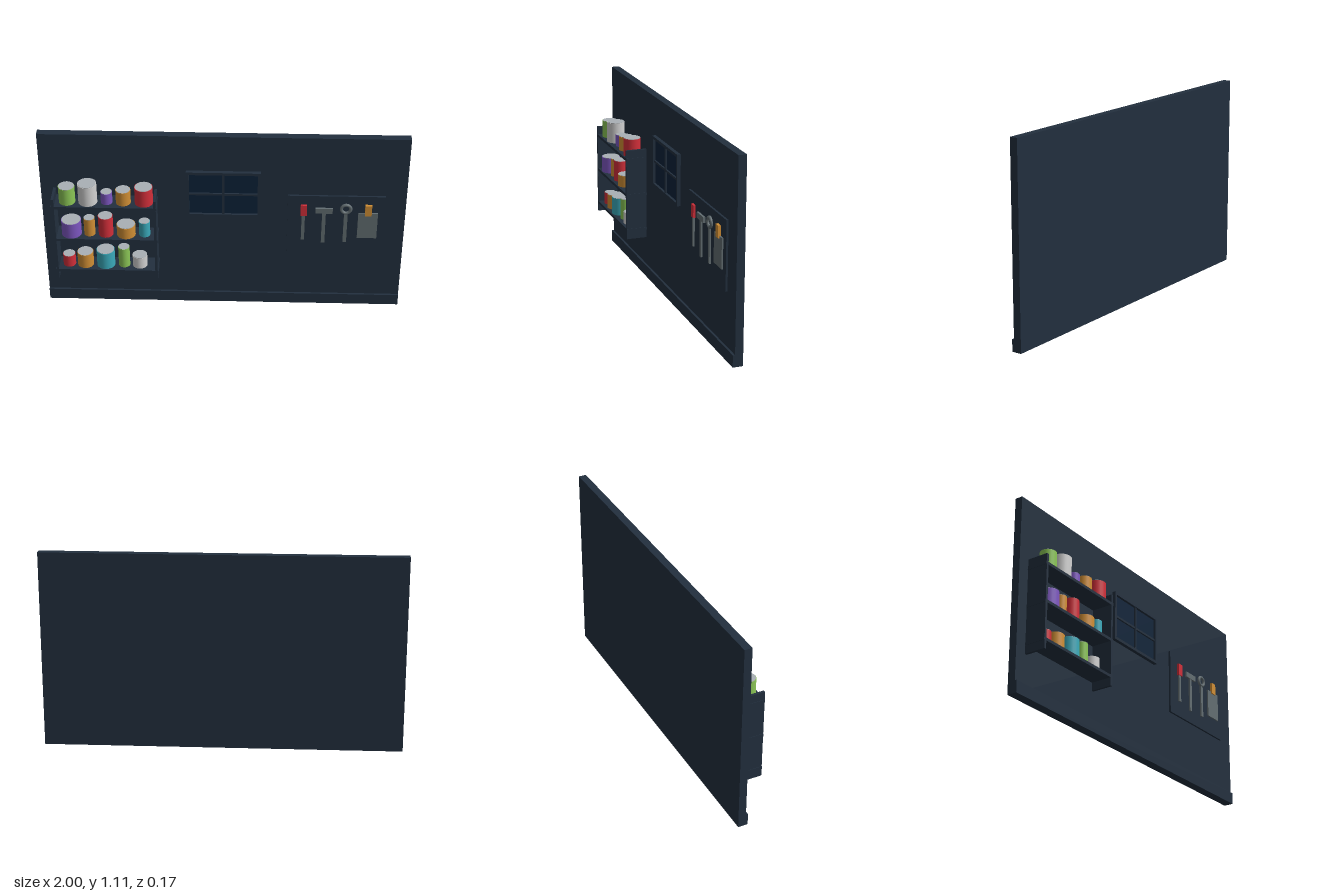
import * as THREE from 'three';

const mat = (name, color) => new THREE.MeshStandardMaterial({ name, color });

export function createModel() {
  const model = new THREE.Group();
  model.name = 'workshopWall';
  const slate = mat('slate', 0x222f3e);
  const glass = mat('darkGlass', 0x0b2239);
  const steel = mat('steel', 0x636e72);
  const lidGrey = mat('lidGrey', 0xaab0b5);
  const red = mat('red', 0xd32f3a);
  const orange = mat('orange', 0xd18f35);
  const green = mat('green', 0x8bc656);
  const purple = mat('purple', 0x7e57c2);
  const teal = mat('teal', 0x3aaabb);
  const white = mat('white', 0xd2d2d2);

  const group = (name) => {
    const g = new THREE.Group();
    g.name = name;
    model.add(g);
    return g;
  };
  // Box given by its lower and upper limits on each axis
  const box = (parent, name, material, x0, x1, y0, y1, z0, z1) => {
    const m = new THREE.Mesh(new THREE.BoxGeometry(x1 - x0, y1 - y0, z1 - z0), material);
    m.position.set((x0 + x1) / 2, (y0 + y1) / 2, (z0 + z1) / 2);
    m.name = name;
    parent.add(m);
    return m;
  };

  // Wall and skirting
  box(model, 'wall', slate, -1, 1, 0, 1.11, -0.083, -0.039);
  box(model, 'baseboard', slate, -1, 1, 0, 0.067, -0.039, -0.027);

  // Shelf unit
  const shelves = group('shelfUnit');
  box(shelves, 'rightSide', slate, -0.931, -0.917, 0.235, 0.768, -0.039, 0.083);
  box(shelves, 'leftSide', slate, -0.377, -0.363, 0.235, 0.768, -0.039, 0.083);

  // Cans on each shelf: [material, centre x, radius, height]
  const rows = [
    [0.722, [[green, -0.85, 0.045, 0.1], [white, -0.737, 0.052, 0.12], [purple, -0.634, 0.032, 0.068],
      [orange, -0.543, 0.041, 0.083], [red, -0.431, 0.05, 0.102]]],
    [0.508, [[purple, -0.837, 0.055, 0.092], [orange, -0.737, 0.031, 0.107], [red, -0.647, 0.041, 0.122],
      [orange, -0.535, 0.052, 0.068], [teal, -0.433, 0.031, 0.09]]],
    [0.297, [[red, -0.861, 0.035, 0.07], [orange, -0.77, 0.045, 0.086], [teal, -0.656, 0.051, 0.103],
      [green, -0.553, 0.032, 0.123], [white, -0.465, 0.041, 0.07]]],
  ];
  for (const [y, cans] of rows) {
    box(shelves, 'shelf', slate, -0.934, -0.36, y - 0.016, y, -0.039, 0.083);
    for (const [material, x, r, h] of cans) {
      const can = new THREE.Mesh(new THREE.CylinderGeometry(r, r, h, 24), material);
      can.name = 'paintCan';
      can.position.set(x, y + h / 2, 0.025);
      const lid = new THREE.Mesh(new THREE.CylinderGeometry(r * 0.95, r * 0.95, 0.004, 24), lidGrey);
      lid.name = 'canLid';
      lid.position.y = h / 2;
      can.add(lid);
      shelves.add(can);
    }
  }

  // Window: pane, outer frame and crossed bars
  const win = group('window');
  box(win, 'pane', glass, -0.19, 0.19, 0.615, 0.88, -0.039, -0.032);
  for (const y of [0.603, 0.877]) box(win, 'frameRail', slate, -0.203, 0.203, y, y + 0.016, -0.039, -0.018);
  for (const x of [-0.203, 0.187]) box(win, 'frameStile', slate, x, x + 0.016, 0.619, 0.877, -0.039, -0.018);
  box(win, 'uprightBar', slate, -0.006, 0.006, 0.619, 0.877, -0.039, -0.022);
  box(win, 'crossBar', slate, -0.187, 0.187, 0.742, 0.754, -0.039, -0.023);

  // Tool board and the tools hung on it
  const tools = group('toolBoard');
  box(tools, 'board', slate, 0.353, 0.887, 0.367, 0.746, -0.039, -0.028);
  box(tools, 'screwdriverShaft', steel, 0.431, 0.449, 0.458, 0.622, -0.028, -0.019);
  box(tools, 'screwdriverHandle', red, 0.424, 0.459, 0.62, 0.69, -0.028, -0.015);
  box(tools, 'hammerHandle', steel, 0.543, 0.563, 0.438, 0.642, -0.028, -0.019);
  box(tools, 'hammerHead', steel, 0.506, 0.6, 0.638, 0.67, -0.028, -0.016);
  box(tools, 'wrenchHandle', steel, 0.663, 0.683, 0.444, 0.642, -0.028, -0.019);
  const ring = new THREE.Mesh(new THREE.TorusGeometry(0.026, 0.009, 8, 20), steel);
  ring.name = 'wrenchRing';
  ring.position.set(0.673, 0.667, -0.023);
  tools.add(ring);
  box(tools, 'scraperBlade', steel, 0.741, 0.849, 0.474, 0.64, -0.028, -0.02);
  box(tools, 'scraperHandle', orange, 0.777, 0.814, 0.628, 0.695, -0.028, -0.013);
  return model;
}
